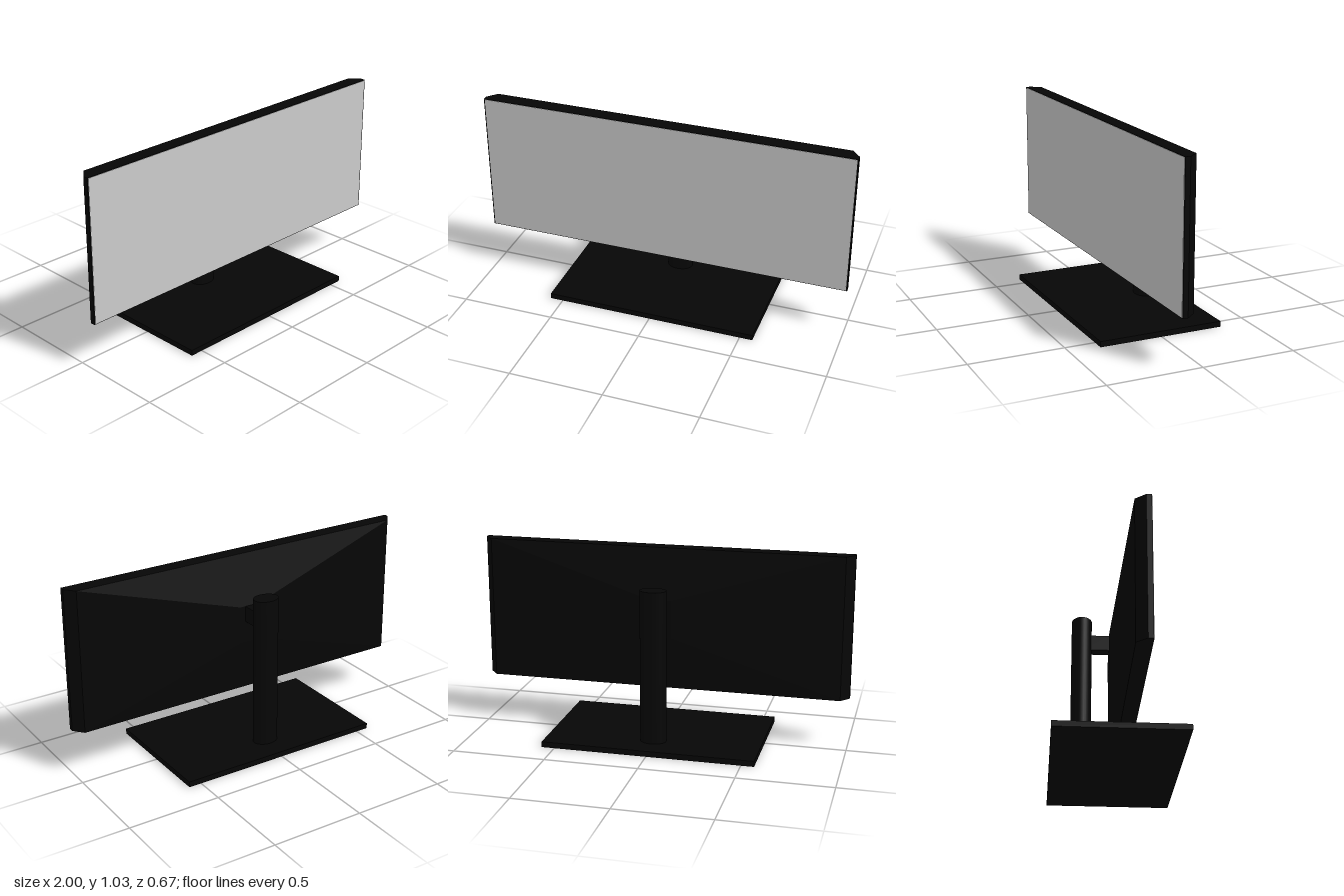
import * as THREE from 'three';

const black = new THREE.MeshStandardMaterial({ color: 0x060606 });
const grey = new THREE.MeshStandardMaterial({ color: 0xcccccc });

// Solid through rectangular sections [halfWidth, bottom, top, z], listed front to back
function loftRects(sections) {
  const rings = sections.map(([w, y0, y1, z]) => [
    [-w, y0, z], [w, y0, z], [w, y1, z], [-w, y1, z],
  ]);
  const pos = [];
  const quad = (a, b, c, d) => pos.push(...a, ...b, ...c, ...a, ...c, ...d);
  quad(...rings[0]);
  for (let i = 0; i < rings.length - 1; i++) {
    for (let j = 0; j < 4; j++) {
      const k = (j + 1) % 4;
      quad(rings[i][j], rings[i + 1][j], rings[i + 1][k], rings[i][k]);
    }
  }
  quad(...[...rings[rings.length - 1]].reverse());
  const geo = new THREE.BufferGeometry();
  geo.setAttribute('position', new THREE.Float32BufferAttribute(pos, 3));
  geo.computeVertexNormals();
  return geo;
}

export function createModel() {
  const group = new THREE.Group();
  const add = (name, geo, mat, x, y, z) => {
    const mesh = new THREE.Mesh(geo, mat);
    mesh.name = name;
    mesh.position.set(x, y, z);
    group.add(mesh);
    return mesh;
  };

  // Flat rectangular foot
  add('base', new THREE.BoxGeometry(1.138, 0.03, 0.674), black, 0, 0.015, 0);

  // Oval upright
  const pole = add('pole', new THREE.CylinderGeometry(1, 1, 0.82, 32), black, 0, 0.44, -0.176);
  pole.scale.set(0.07, 1, 0.054);

  // Arm joining the upright to the back of the housing
  add('arm', new THREE.BoxGeometry(0.06, 0.085, 0.14), black, 0, 0.717, -0.095);

  // Housing with chamfered sides and a tapering back
  add('housing', loftRects([
    [1, 0.26, 1.03, 0.112],
    [1, 0.26, 1.03, 0.085],
    [0.955, 0.26, 1.03, 0.032],
    [0.06, 0.555, 0.76, -0.031],
  ]), black, 0, 0, 0);

  // Display surface with a hairline border
  add('screen', new THREE.BoxGeometry(1.988, 0.764, 0.004), grey, 0, 0.645, 0.112);

  return group;
}
